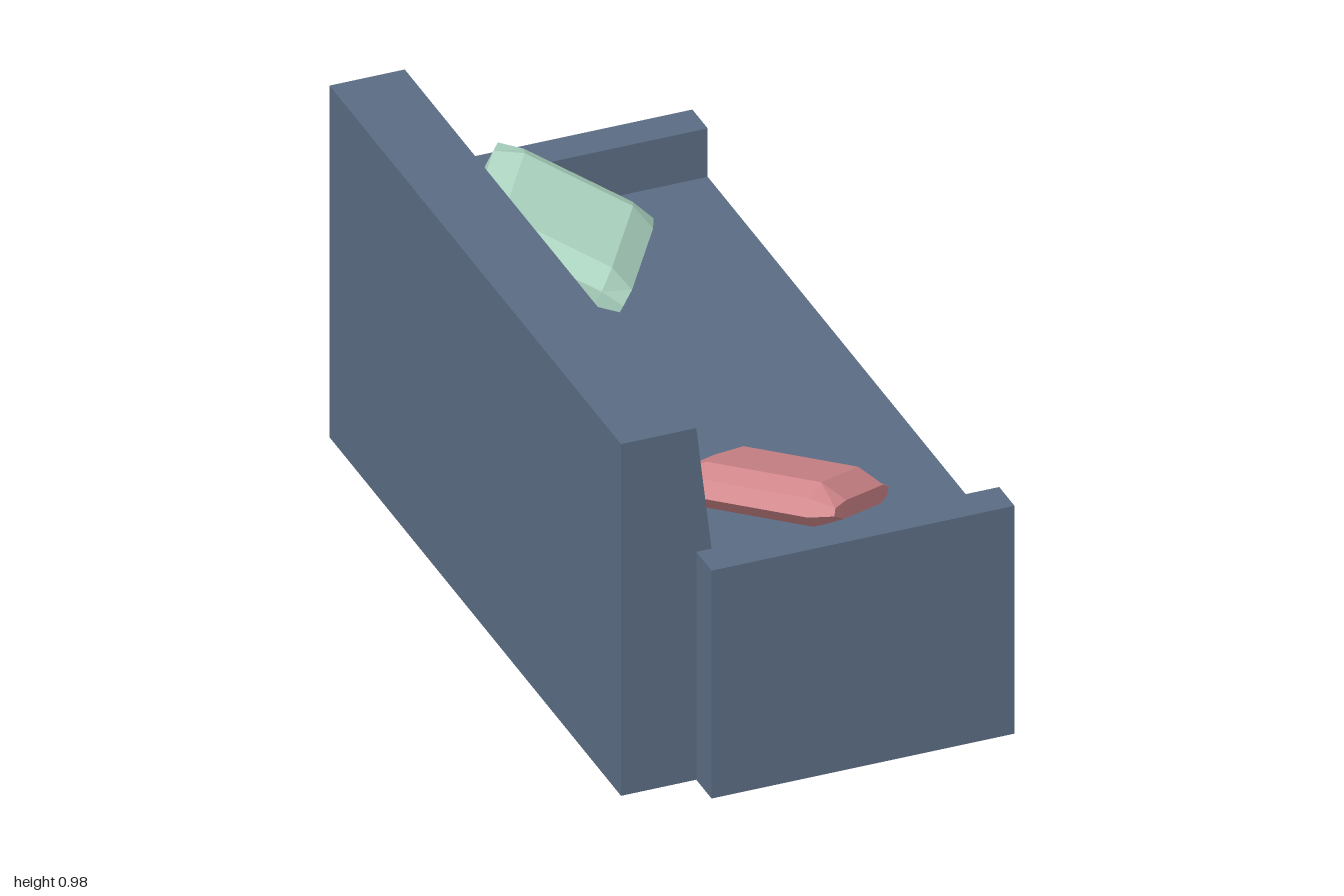
import * as THREE from 'three';

const material = (name, color, flatShading = false) =>
  Object.assign(new THREE.MeshStandardMaterial({ color, flatShading }), { name });

// Extrudes a closed outline of [x, y] points
function extrude(points, depth) {
  const shape = new THREE.Shape(points.map(([x, y]) => new THREE.Vector2(x, y)));
  return new THREE.ExtrudeGeometry(shape, { depth, bevelEnabled: false });
}

function part(name, geometry, mat) {
  const mesh = new THREE.Mesh(geometry, mat);
  mesh.name = name;
  return mesh;
}

// Square cushion: a subdivided slab, thick in the middle, thin at the rim and thinner at the corners
function cushionGeometry() {
  const half = 0.213, inner = 0.145;
  const thickness = [0.055, 0.023, 0.01];
  const geo = new THREE.BoxGeometry(2, 2, 2, 3, 1, 3);
  const p = geo.attributes.position;
  for (let i = 0; i < p.count; i++) {
    const x = p.getX(i), z = p.getZ(i);
    const outer = (Math.abs(x) > 0.9 ? 1 : 0) + (Math.abs(z) > 0.9 ? 1 : 0);
    const place = (v) => Math.sign(v) * (Math.abs(v) > 0.9 ? half * (outer === 2 ? 0.975 : 1) : inner);
    p.setXYZ(i, place(x), Math.sign(p.getY(i)) * thickness[outer], place(z));
  }
  geo.computeVertexNormals();
  return geo;
}

export function createModel() {
  const model = new THREE.Group();
  model.name = 'sofa';
  const fabric = material('slate blue fabric', 0x5b6d84);
  const pink = material('pink fabric', 0xd98c90, true);
  const green = material('mint fabric', 0xb3dcc8, true);

  // Seat and both arms as one U-shaped section
  const seat = extrude([
    [-1, 0], [1, 0], [1, 0.635], [0.905, 0.635],
    [0.905, 0.5], [-0.905, 0.5], [-0.905, 0.635], [-1, 0.635],
  ], 0.785);
  seat.rotateY(Math.PI / 2).translate(-0.295, 0, 0);
  model.add(part('seatAndArms', seat, fabric));

  // Backrest with a sloping front
  const back = extrude([
    [-0.49, 0], [-0.295, 0], [-0.295, 0.5], [-0.24, 0.5], [-0.295, 0.98], [-0.49, 0.98],
  ], 1.81);
  back.translate(0, 0, -0.905);
  model.add(part('backrest', back, fabric));

  // Cushions: dx, dz is the level direction in which each one rises
  const geo = cushionGeometry();
  const cushions = [
    { name: 'pinkCushion', mat: pink, at: [0.025, 0.605, 0.655], dx: -0.265, dz: 0.295, tilt: 22 },
    { name: 'greenCushion', mat: green, at: [0.0, 0.61, -0.655], dx: -0.312, dz: -0.2, tilt: 24.5 },
  ];
  for (const { name, mat, at, dx, dz, tilt } of cushions) {
    const cushion = part(name, geo, mat);
    cushion.position.set(...at);
    cushion.rotation.set(0, Math.atan2(-dz, dx), THREE.MathUtils.degToRad(tilt), 'YXZ');
    model.add(cushion);
  }
  return model;
}
